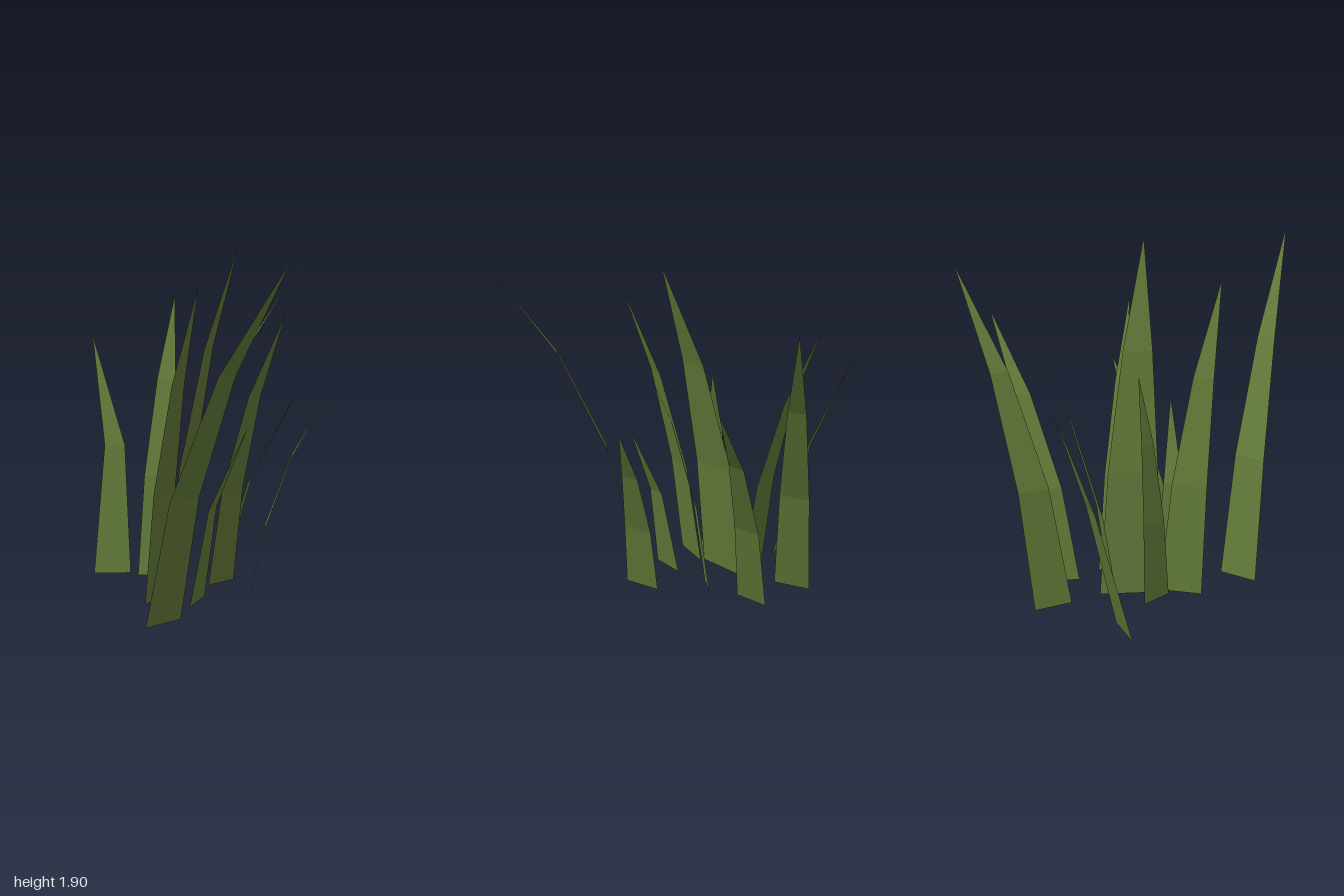
import * as THREE from 'three';

// Rows along a blade: [height fraction, lean fraction, width fraction]
const TALL = [[0, 0, 1], [0.36, 0.19, 0.82], [0.7, 0.53, 0.48], [1, 1, 0]];
const SHORT = [[0, 0, 1], [0.535, 0.31, 0.56], [1, 1, 0]];

// Each blade: base corners a and b [x, z], tip [x, y, z], rows, sideways bow [x, z]
const BLADES = [
  { a: [-0.58, -0.20], b: [-0.43, -0.05], tip: [-0.165, 1.75, -0.82], rows: TALL },
  { a: [-0.27, -0.28], b: [-0.17, -0.11], tip: [0.235, 1.41, -0.82], rows: TALL },
  { a: [-0.30, 0.13], b: [-0.485, 0.25], tip: [-0.61, 1.57, -0.20], rows: TALL },
  { a: [-0.545, 0.25], b: [-0.695, 0.395], tip: [-1.0, 1.33, 0.10], rows: SHORT, bow: [0.005, -0.07] },
  { a: [-0.31, 0.325], b: [-0.15, 0.41], tip: [-0.145, 1.24, 0.22], rows: TALL },
  { a: [-0.29, 0.06], b: [-0.15, 0.36], tip: [0.18, 1.90, 0.13], rows: TALL },
  { a: [-0.025, -0.05], b: [-0.06, 0.12], tip: [0.37, 1.53, -0.015], rows: TALL },
  { a: [0.235, 0.11], b: [0.365, 0.28], tip: [0.53, 1.115, -0.18], rows: TALL },
  { a: [0.05, 0.27], b: [0.115, 0.455], tip: [0.34, 0.97, 0.245], rows: SHORT },
  { a: [-0.125, 0.35], b: [-0.09, 0.58], tip: [0.27, 1.69, 0.54], rows: TALL },
  { a: [0.20, 0.61], b: [0.16, 0.82], tip: [0.99, 1.85, 0.715], rows: TALL },
];

// A flat, tapering blade that bends over towards its tip
function bladeGeometry({ a, b, tip, rows, bow = [0, 0] }) {
  const cx = (a[0] + b[0]) / 2, cz = (a[1] + b[1]) / 2;
  const leanX = tip[0] - cx, leanZ = tip[2] - cz;
  let hx = (b[0] - a[0]) / 2, hz = (b[1] - a[1]) / 2;
  // Outer face looks the way the blade leans
  if (-hz * leanX + hx * leanZ < 0) { hx = -hx; hz = -hz; }

  const pair = ([h, lean, width], i) => {
    const k = i > 0 && i < rows.length - 1 ? 1 : 0;
    const x = cx + leanX * lean + bow[0] * k, z = cz + leanZ * lean + bow[1] * k;
    return [-1, 1].map((s) => [x + s * hx * width, tip[1] * h, z + s * hz * width]);
  };

  const pairs = rows.map(pair), pos = [];
  for (let i = 0; i < pairs.length - 1; i++) {
    const [l0, r0] = pairs[i], [l1, r1] = pairs[i + 1];
    pos.push(...l0, ...r0, ...r1);
    if (i < pairs.length - 2) pos.push(...l0, ...r1, ...l1);
  }
  const geo = new THREE.BufferGeometry();
  geo.setAttribute('position', new THREE.Float32BufferAttribute(pos, 3));
  geo.computeVertexNormals();
  return geo;
}

export function createModel() {
  const group = new THREE.Group();
  group.name = 'grassTuft';
  const green = new THREE.MeshStandardMaterial({ color: 0x617838, side: THREE.DoubleSide });
  green.name = 'grassGreen';
  BLADES.forEach((spec, i) => {
    const mesh = new THREE.Mesh(bladeGeometry(spec), green);
    mesh.name = `grassBlade${i + 1}`;
    group.add(mesh);
  });
  return group;
}
